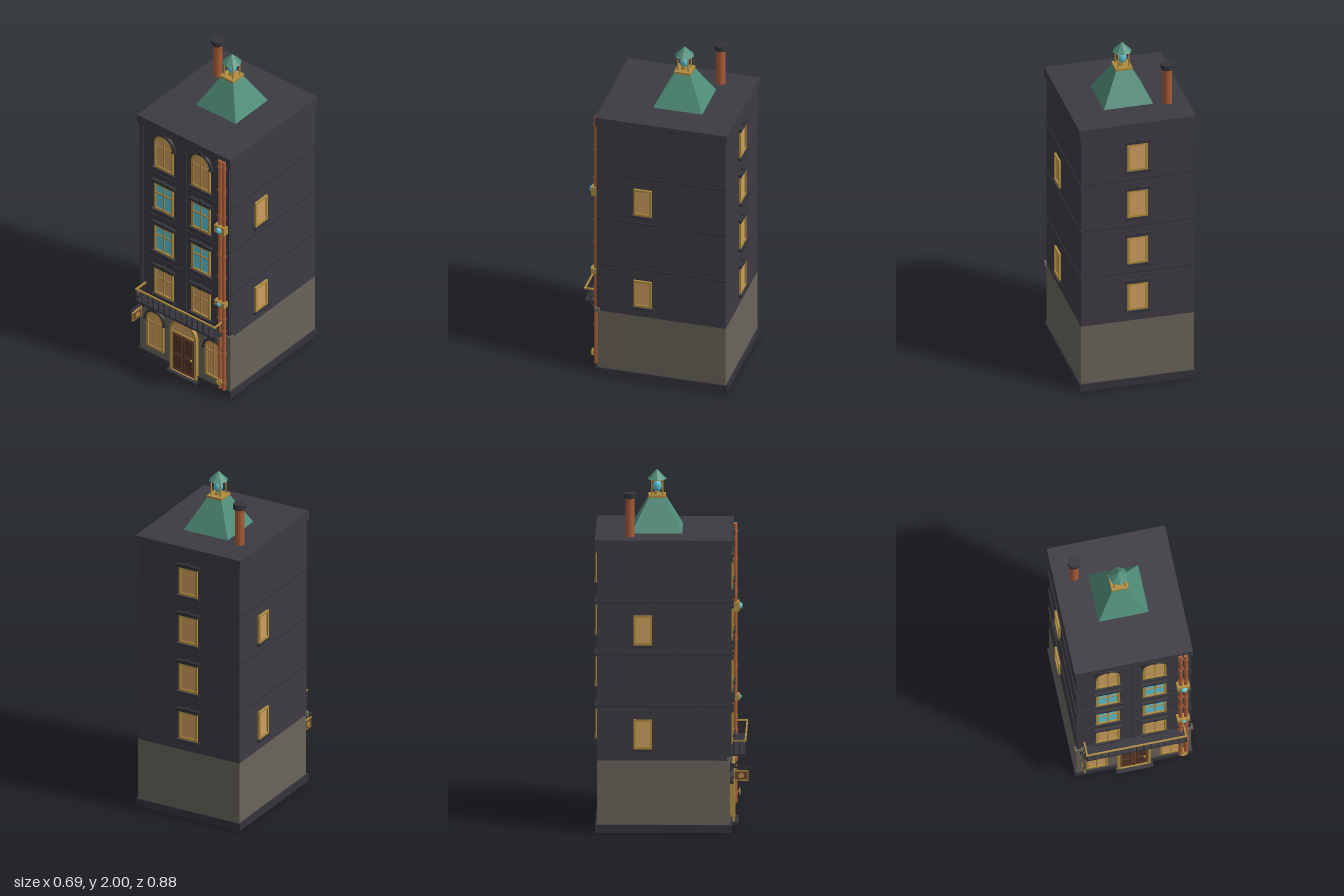
import * as THREE from 'three';

const mat = (name, color) => {
  const m = new THREE.MeshStandardMaterial({ color });
  m.name = name;
  return m;
};
const M = {
  wall: mat('charcoal wall', 0x3d3b42),
  trim: mat('dark trim', 0x34333a),
  stone: mat('stone', 0x69645a),
  gold: mat('brass', 0xb08d40),
  amber: mat('amber glass', 0xd09f60),
  cyan: mat('cyan glass', 0x5cc4d4),
  copper: mat('copper', 0xa85c36),
  green: mat('verdigris', 0x4f8d78),
  door: mat('door wood', 0x6b4430),
  darkWood: mat('dark wood', 0x553424),
};

const W = 0.325, FRONT = 0.325, BACK = -0.416;
const MIDZ = (FRONT + BACK) / 2, DEPTH = FRONT - BACK;

function add(parent, name, geo, material, x = 0, y = 0, z = 0) {
  const m = new THREE.Mesh(geo, material);
  m.name = name;
  m.position.set(x, y, z);
  parent.add(m);
  return m;
}
const box = (p, name, m, w, h, d, x, y, z) => add(p, name, new THREE.BoxGeometry(w, h, d), m, x, y, z);
const cyl = (p, name, m, r1, r2, h, n, x, y, z) => add(p, name, new THREE.CylinderGeometry(r1, r2, h, n), m, x, y, z);

// Opening outline standing on y = y0, with a flat or round top
function outline(Type, w, y0, h, arched) {
  const s = new Type(), r = w / 2;
  s.moveTo(-r, y0);
  s.lineTo(r, y0);
  if (arched) {
    s.lineTo(r, h - r);
    s.absarc(0, h - r, r, 0, Math.PI, false);
  } else {
    s.lineTo(r, h);
    s.lineTo(-r, h);
  }
  s.closePath();
  return s;
}
const extrude = (s, depth) => new THREE.ExtrudeGeometry(s, { depth, bevelEnabled: false, curveSegments: 14 });

// Half ring moulding over an arch
function archHood(p, name, m, r, t, y, depth) {
  const s = new THREE.Shape();
  s.absarc(0, y, r + t, 0, Math.PI, false);
  s.absarc(0, y, r, Math.PI, 0, true);
  s.closePath();
  add(p, name, extrude(s, depth), m);
}

// Window facing +z, its foot at the local origin
function makeWindow(name, { w, h, glass = M.amber, arched = false, bars = true, hood = true, sill = w + 0.025 }) {
  const g = new THREE.Group();
  g.name = name;
  const t = 0.013, r = w / 2;
  const s = outline(THREE.Shape, w, 0, h, arched);
  s.holes.push(outline(THREE.Path, w - 2 * t, t, h - t, arched));
  add(g, 'windowFrame', extrude(s, 0.012), M.gold);
  add(g, 'windowGlass', extrude(outline(THREE.Shape, w - 2 * t, t, h - t, arched), 0.004), glass);
  if (bars) {
    box(g, 'mullion', M.gold, 0.008, h - t, 0.009, 0, h / 2, 0.0045);
    box(g, 'crossBar', M.gold, w - t, 0.008, 0.009, 0, arched ? h - r - 0.02 : h * 0.62, 0.0045);
  }
  if (sill) box(g, 'sill', M.trim, sill, 0.012, 0.022, 0, -0.006, 0.011);
  if (hood && arched) {
    archHood(g, 'archHood', M.trim, r, 0.012, h - r, 0.016);
    for (const k of [-1, 1]) box(g, 'hoodEnd', M.trim, 0.02, 0.012, 0.018, k * (r + 0.008), h - r - 0.006, 0.009);
  } else if (hood) box(g, 'lintel', M.trim, w + 0.025, 0.018, 0.018, 0, h + 0.009, 0.009);
  if (hood) box(g, 'keystone', M.trim, 0.02, 0.026, 0.02, 0, h + 0.013, 0.01);
  return g;
}
function place(p, g, x, y, z, ry = 0) {
  g.position.set(x, y, z);
  g.rotation.y = ry;
  p.add(g);
}

function buildShell(root) {
  const ring = (name, m, y0, y1, out) =>
    box(root, name, m, 2 * (W + out), y1 - y0, DEPTH + 2 * out, 0, (y0 + y1) / 2, MIDZ);
  ring('plinth', M.trim, 0, 0.045, 0.009);
  ring('groundFloor', M.stone, 0.045, 0.41, 0);
  ring('upperFloors', M.wall, 0.41, 1.61, 0);
  ring('cornice', M.wall, 1.605, 1.662, 0.011);
  for (const y of [0.717, 1.012, 1.307]) ring('floorBand', M.trim, y - 0.005, y + 0.005, 0.005);
  box(root, 'stoneBand', M.stone, 0.672, 0.026, 0.03, 0, 0.416, 0.325);
  for (const x of [-0.311, 0, 0.311]) box(root, 'pilaster', M.wall, 0.022, 1.18, 0.012, x, 1.018, 0.327);
}

function buildWindows(root) {
  for (const x of [-0.148, 0.118]) {
    [[0.48, M.amber], [0.778, M.cyan], [1.07, M.cyan]].forEach(([y, glass]) =>
      place(root, makeWindow('frontWindow', { w: 0.134, h: 0.185, glass }), x, y, FRONT));
    place(root, makeWindow('archedWindow', { w: 0.134, h: 0.237, arched: true }), x, 1.36, FRONT);
  }
  for (const x of [-0.21, 0.21])
    place(root, makeWindow('groundWindow', { w: 0.122, h: 0.258, arched: true, sill: 0 }), x, 0.087, FRONT);
  for (const y of [0.48, 0.775, 1.07, 1.365])
    place(root, makeWindow('backWindow', { w: 0.118, h: 0.172, bars: false }), 0, y, BACK, Math.PI);
  for (const y of [0.476, 1.066]) {
    const opts = { w: 0.104, h: 0.168, bars: false, hood: false, sill: 0.127 };
    place(root, makeWindow('leftSideWindow', opts), W, y, 0.063, Math.PI / 2);
    place(root, makeWindow('rightSideWindow', opts), -W, y, -0.16, -Math.PI / 2);
  }
}

function buildDoor(root) {
  const g = new THREE.Group();
  g.name = 'entrance';
  place(root, g, 0, 0.015, FRONT);
  const s = outline(THREE.Shape, 0.19, 0, 0.37, true);
  s.holes.push(outline(THREE.Path, 0.16, 0.002, 0.355, true));
  add(g, 'doorFrame', extrude(s, 0.022), M.gold);
  add(g, 'fanlight', extrude(outline(THREE.Shape, 0.16, 0.26, 0.355, true), 0.01), M.amber);
  box(g, 'doorLeaf', M.door, 0.16, 0.262, 0.013, 0, 0.131, 0.0065);
  box(g, 'transom', M.gold, 0.17, 0.01, 0.018, 0, 0.266, 0.009);
  box(g, 'doorSeam', M.darkWood, 0.004, 0.255, 0.002, 0, 0.13, 0.014);
  for (const x of [-0.039, 0.039])
    for (const [y, h] of [[0.07, 0.09], [0.19, 0.11]]) box(g, 'doorPanel', M.darkWood, 0.054, h, 0.003, x, y, 0.0145);
  add(g, 'doorKnob', new THREE.SphereGeometry(0.007, 10, 8), M.gold, 0.058, 0.122, 0.02);
  box(root, 'doorStep', M.trim, 0.21, 0.016, 0.05, 0, 0.008, 0.343);
}

function buildBalcony(root) {
  const g = new THREE.Group();
  g.name = 'balcony';
  root.add(g);
  box(g, 'balconyFloor', M.trim, 0.57, 0.012, 0.085, 0, 0.434, 0.37);
  box(g, 'topRail', M.gold, 0.574, 0.009, 0.009, 0, 0.515, 0.41);
  for (let i = 0; i <= 14; i++)
    box(g, 'baluster', M.trim, 0.006, 0.08, 0.006, -0.281 + i * 0.562 / 14, 0.475, 0.41);
  for (const x of [-0.281, 0.281]) {
    box(g, 'sideRail', M.gold, 0.009, 0.009, 0.085, x, 0.515, 0.37);
    for (const z of [0.345, 0.378]) box(g, 'sideBaluster', M.trim, 0.006, 0.08, 0.006, x, 0.475, z);
    const k = Math.sign(x) * 0.26;
    box(g, 'bracket', M.trim, 0.012, 0.105, 0.009, k, 0.39, 0.365).rotation.x = 0.75;
    box(g, 'bracketPlate', M.trim, 0.012, 0.09, 0.008, k, 0.39, 0.329);
  }
}

function buildSign(root) {
  const g = new THREE.Group();
  g.name = 'hangingSign';
  place(root, g, -0.297, 0, 0);
  box(g, 'signArm', M.trim, 0.009, 0.009, 0.115, 0, 0.37, 0.38);
  box(g, 'signMount', M.trim, 0.014, 0.05, 0.008, 0, 0.365, 0.329);
  box(g, 'signBoard', M.gold, 0.01, 0.06, 0.082, 0, 0.322, 0.387);
  box(g, 'signPanel', M.door, 0.013, 0.046, 0.068, 0, 0.322, 0.387);
  cyl(g, 'signDisc', M.gold, 0.016, 0.016, 0.016, 8, 0, 0.322, 0.387).rotation.z = Math.PI / 2;
  for (const z of [0.36, 0.414]) box(g, 'signHanger', M.trim, 0.004, 0.02, 0.004, 0, 0.36, z);
}

function buildPipes(root) {
  const g = new THREE.Group();
  g.name = 'pipework';
  root.add(g);
  for (const x of [0.264, 0.293]) {
    cyl(g, 'pipe', M.copper, 0.0115, 0.0115, 1.585, 12, x, 0.8425, 0.343);
    for (const y of [0.1, 0.3, 0.46, 0.54, 0.83, 0.98, 1.25, 1.43, 1.59])
      cyl(g, 'pipeCollar', M.copper, 0.0145, 0.0145, 0.012, 12, x, y, 0.343);
  }
  for (const [y, h, r] of [[1.166, 0.052, 0.021], [0.65, 0.034, 0.015]]) {
    box(g, 'gaugeBox', M.gold, 0.072, h, 0.042, 0.277, y, 0.345);
    add(g, 'gaugeGlass', new THREE.SphereGeometry(r, 14, 10), M.cyan, 0.277, y, 0.364);
    const rim = add(g, 'gaugeRim', new THREE.TorusGeometry(r, 0.003, 6, 16), M.gold, 0.277, y, 0.367);
    rim.scale.z = 0.8;
  }
  // Valve wheel near the ground
  add(g, 'valveWheel', new THREE.TorusGeometry(0.018, 0.004, 6, 16), M.gold, 0.278, 0.11, 0.367);
  box(g, 'valveSpoke', M.gold, 0.034, 0.004, 0.004, 0.278, 0.11, 0.367);
  box(g, 'valveSpoke', M.gold, 0.004, 0.034, 0.004, 0.278, 0.11, 0.367);
  cyl(g, 'valveStem', M.gold, 0.005, 0.005, 0.04, 8, 0.278, 0.11, 0.35).rotation.x = Math.PI / 2;
}

function buildRoof(root) {
  const g = new THREE.Group();
  g.name = 'roofLantern';
  place(root, g, 0, 0, -0.086);
  // Four-sided tapering roof, turned square to the walls
  const roof = new THREE.CylinderGeometry(0.045 * Math.SQRT2, 0.143 * Math.SQRT2, 0.185, 4);
  roof.rotateY(Math.PI / 4);
  const flat = roof.toNonIndexed();
  flat.computeVertexNormals();
  add(g, 'greenRoof', flat, M.green, 0, 1.7525, 0);
  box(g, 'lanternBase', M.gold, 0.096, 0.014, 0.096, 0, 1.85, 0);
  for (const x of [-0.03, 0.03])
    for (const z of [-0.03, 0.03]) cyl(g, 'lanternPost', M.gold, 0.0045, 0.0045, 0.092, 8, x, 1.9, z);
  add(g, 'lanternLight', new THREE.SphereGeometry(0.025, 14, 10), M.cyan, 0, 1.905, 0).scale.y = 1.45;
  cyl(g, 'lanternFoot', M.gold, 0.016, 0.02, 0.016, 10, 0, 1.864, 0);
  cyl(g, 'lanternCollar', M.gold, 0.042, 0.042, 0.008, 8, 0, 1.942, 0);
  const cap = new THREE.ConeGeometry(0.055, 0.056, 8).toNonIndexed();
  cap.computeVertexNormals();
  add(g, 'lanternCap', cap, M.green, 0, 1.972, 0);

  cyl(root, 'chimney', M.copper, 0.026, 0.026, 0.23, 20, -0.222, 1.77, -0.233);
  cyl(root, 'chimneyCap', M.trim, 0.037, 0.037, 0.03, 20, -0.222, 1.895, -0.233);
}

export function createModel() {
  const root = new THREE.Group();
  root.name = 'townhouse';
  for (const build of [buildShell, buildWindows, buildDoor, buildBalcony, buildSign, buildPipes, buildRoof]) build(root);
  return root;
}
